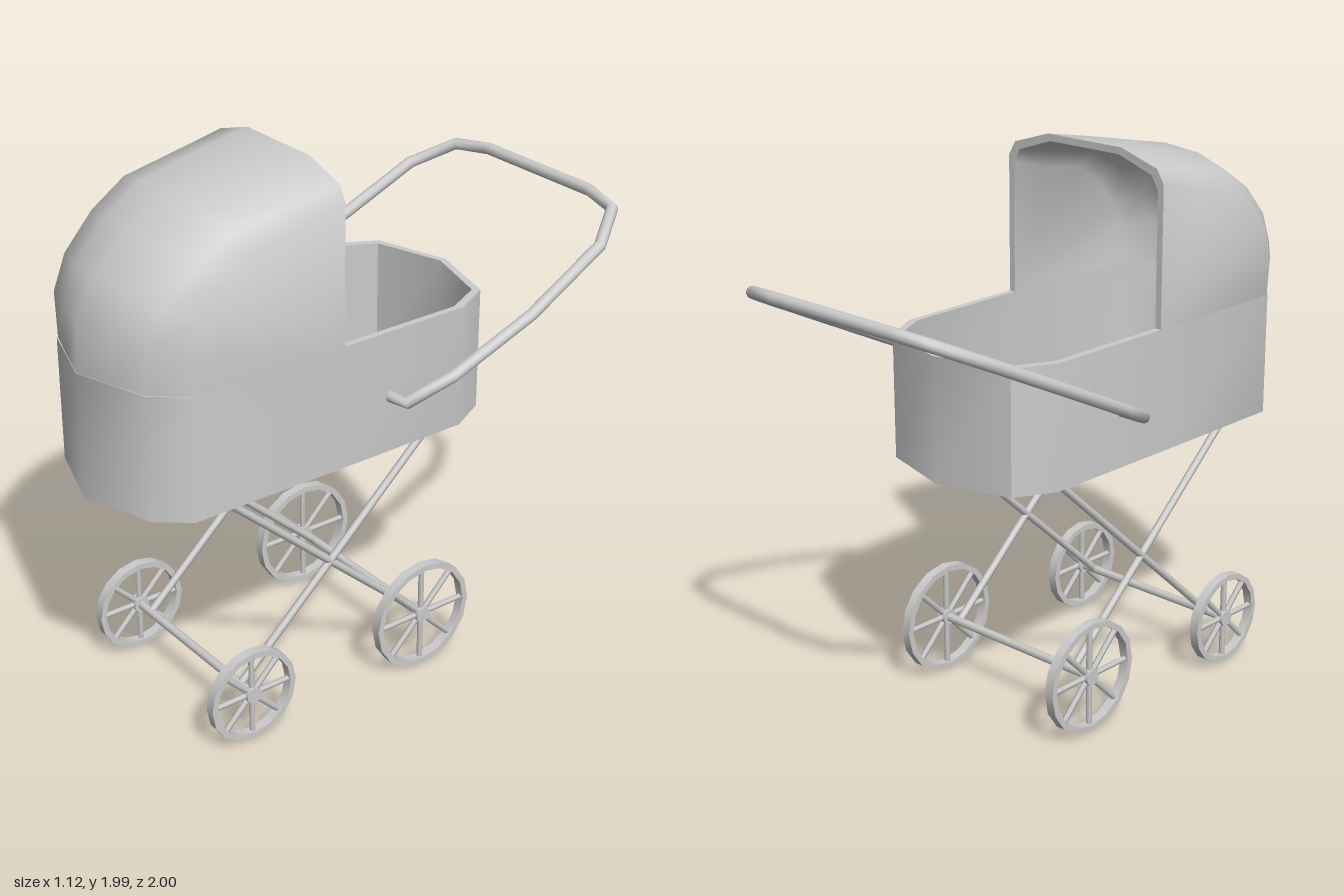
import * as THREE from 'three';
import { toCreasedNormals } from 'three/addons/utils/BufferGeometryUtils.js';

const V = (x, y, z) => new THREE.Vector3(x, y, z);
const mat = new THREE.MeshStandardMaterial({ color: 0xcccccc, side: THREE.DoubleSide });

function add(parent, name, geometry) {
  const mesh = new THREE.Mesh(geometry, mat);
  mesh.name = name;
  parent.add(mesh);
  return mesh;
}

// Skin over closed rings of points, smooth except at sharp edges
function loft(rings) {
  const n = rings[0].length, index = [];
  for (let i = 0; i < rings.length - 1; i++) {
    for (let j = 0; j < n; j++) {
      const k = (j + 1) % n, a = i * n + j, b = i * n + k, c = b + n, d = a + n;
      index.push(a, b, c, a, c, d);
    }
  }
  const geometry = new THREE.BufferGeometry().setFromPoints(rings.flat());
  geometry.setIndex(index);
  return toCreasedNormals(geometry, 0.8);
}

// Round bar between two points
function rod(parent, name, a, b, radius, sides = 8) {
  const mesh = add(parent, name, new THREE.CylinderGeometry(radius, radius, a.distanceTo(b), sides));
  mesh.position.copy(a).lerp(b, 0.5);
  mesh.quaternion.setFromUnitVectors(V(0, 1, 0), b.clone().sub(a).normalize());
}

// Straight-sided path with mitred corners
class Polyline extends THREE.Curve {
  constructor(points) { super(); this.points = points; }
  getPoint(t, target = V(0, 0, 0)) {
    const s = t * (this.points.length - 1);
    const i = Math.min(Math.floor(s), this.points.length - 2);
    return target.copy(this.points[i]).lerp(this.points[i + 1], s - i);
  }
  getPointAt(u, target) { return this.getPoint(u, target); }
  getTangentAt(u, target) { return this.getTangent(u, target); }
}

// Open tub: outer wall, rim, inner wall and floor in one skin
function buildTub() {
  const half = [[0.36, 0.8], [0.36, 0.25], [0.355, -0.31], [0.28, -0.455]];
  const outline = [...half, [0, -0.535],
    ...half.slice().reverse().map(([x, z]) => [-x, z]), [-0.27, 0.91], [0, 0.997], [0.27, 0.91]];
  const mid = 0.23;
  const ring = (y, inset) => outline.map(([x, z]) =>
    V(x * (1 - inset / 0.36), y, mid + (z - mid) * (1 - inset / 0.76)));
  const centre = (y) => outline.map(() => V(0, y, mid));
  return loft([centre(0.94), ring(0.94, 0), ring(1.39, 0), ring(1.39, 0.025), ring(0.97, 0.025), centre(0.97)]);
}

// Folding hood: arches fanned about a pivot on the tub rim
function buildHood() {
  const pivot = V(0, 1.39, 0.2);
  const profile = [[0.995, 1.39], [0.985, 1.57], [0.92, 1.7], [0.79, 1.83], [0.64, 1.92], [0.4, 1.965], [0.2, 1.995]];
  const lerp = THREE.MathUtils.lerp;
  const rings = profile.map(([z, y], i) => {
    const t = i / (profile.length - 1);
    const dir = V(0, y, z).sub(pivot);
    const radius = dir.length();
    dir.normalize();
    const arch = (thin) => {
      const at = (x, r) => pivot.clone().addScaledVector(dir, r).setX(x * (1 - thin / 0.36));
      const top = radius - thin;
      const side = [at(-0.36, 0), at(-0.36, top - lerp(0.2, 0.1, t)),
        at(-lerp(0.27, 0.33, t), top - lerp(0.09, 0.05, t)), at(-lerp(0.14, 0.17, t), top - lerp(0.045, 0, t))];
      return [...side, at(0, top), ...side.slice().reverse().map((p) => V(-p.x, p.y, p.z))];
    };
    return [...arch(0), ...arch(0.025).reverse()];
  });
  // Closing ring folds the inner arch onto the outer one to make the front edge
  const outer = rings.at(-1).slice(0, 9);
  rings.push([...outer, ...outer.slice().reverse()]);
  return loft(rings);
}

function buildWheel(radius) {
  const wheel = new THREE.Group();
  const inner = radius - 0.022, w = 0.018;
  const section = [[inner, -w], [radius, -w], [radius, w], [inner, w], [inner, -w]].map(([x, y]) => new THREE.Vector2(x, y));
  const rim = add(wheel, 'wheelRim', toCreasedNormals(new THREE.LatheGeometry(section, 16), 0.6));
  rim.rotation.z = Math.PI / 2;
  rod(wheel, 'wheelHub', V(-0.018, 0, 0), V(0.018, 0, 0), 0.03, 12);
  for (let i = 0; i < 8; i++) {
    const a = i * Math.PI / 4;
    rod(wheel, 'spoke', V(0, 0, 0), V(0, Math.cos(a) * (inner + 0.006), Math.sin(a) * (inner + 0.006)), 0.011, 6);
  }
  return wheel;
}

export function createModel() {
  const model = new THREE.Group();
  model.name = 'babyCarriage';

  const body = new THREE.Group();
  body.name = 'body';
  body.position.x = 0.008;
  add(body, 'tub', buildTub());
  add(body, 'hood', buildHood());
  model.add(body);

  // Push handle, sloping up towards the back
  const plan = [[0.34, 0.005], [0.45, -0.005], [0.505, -0.16], [0.54, -0.47], [0.515, -0.8], [0.42, -0.945], [0.27, -0.978]];
  const bar = plan.map(([x, z]) => V(x, 1.15 - 0.49 * z, z));
  bar.push(...bar.slice().reverse().map((p) => V(-p.x, p.y, p.z)));
  const handle = add(model, 'handle', new THREE.TubeGeometry(new Polyline(bar), bar.length - 1, 0.022, 10));
  handle.position.x = -0.006;

  // Crossed side frames
  const frontHub = V(0, 0.178, 0.585), rearHub = V(0, 0.21, -0.165);
  for (const x of [-0.285, 0.285]) {
    rod(model, 'frameBar', V(x, 0.94, 0.65), rearHub.clone().setX(x), 0.014);
    rod(model, 'frameBar', V(x, 0.94, -0.25), frontHub.clone().setX(x), 0.014);
    rod(model, 'frameTopBar', V(x, 0.93, 0.64), V(x, 0.93, -0.24), 0.012);
  }

  // Axles and wheels
  for (const [name, hub, radius] of [['front', frontHub, 0.175], ['rear', rearHub, 0.208]]) {
    rod(model, name + 'Axle', hub.clone().setX(-0.36), hub.clone().setX(0.35), 0.016);
    for (const x of [-0.363, 0.353]) {
      const wheel = buildWheel(radius);
      wheel.name = name + 'Wheel';
      wheel.position.copy(hub).setX(x);
      model.add(wheel);
    }
  }
  return model;
}
